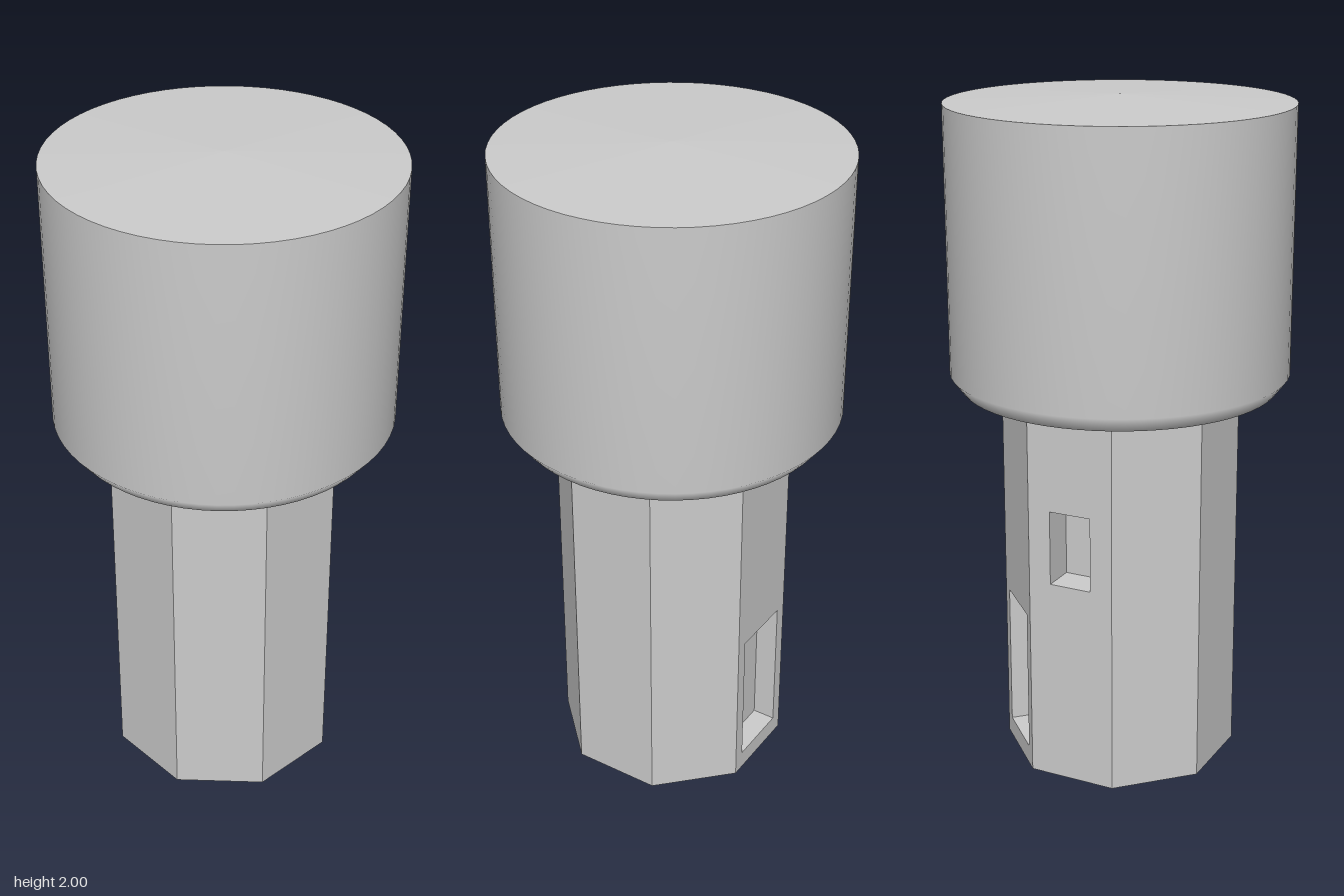
import * as THREE from 'three';

const SIDES = 8;
const APOTHEM = 0.325;
const SHAFT_TOP = 1.155;
const STEP = (2 * Math.PI) / SIDES;
const HALF_SIDE = APOTHEM * Math.tan(STEP / 2);

// Openings by side number, counted from the front (+z) towards +x
const OPENINGS = {
  4: { name: 'doorRecess', width: 0.195, bottom: 0.058, top: 0.495, depth: 0.07 },
  5: { name: 'windowRecess', width: 0.13, bottom: 0.62, top: 0.845, depth: 0.1 },
};

function rectangle(PathType, halfWidth, bottom, top) {
  return new PathType([
    new THREE.Vector2(-halfWidth, bottom),
    new THREE.Vector2(halfWidth, bottom),
    new THREE.Vector2(halfWidth, top),
    new THREE.Vector2(-halfWidth, top),
  ]);
}

// Inside-out box without its front face
function recessGeometry({ width, bottom, top, depth }) {
  const geometry = new THREE.BoxGeometry(width, top - bottom, depth);
  const index = Array.from(geometry.index.array);
  index.splice(24, 6);
  geometry.setIndex(index.reverse());
  geometry.clearGroups();
  geometry.computeVertexNormals();
  return geometry.translate(0, (top + bottom) / 2, APOTHEM - depth / 2);
}

export function createModel() {
  const model = new THREE.Group();
  model.name = 'waterTower';
  const concrete = new THREE.MeshStandardMaterial({ color: 0xcccccc });
  concrete.name = 'concreteGrey';

  const add = (parent, name, geometry) => {
    const mesh = new THREE.Mesh(geometry, concrete);
    mesh.name = name;
    parent.add(mesh);
    return mesh;
  };

  // Octagonal shaft, one wall panel per side
  const shaft = new THREE.Group();
  shaft.name = 'shaft';
  model.add(shaft);
  for (let i = 0; i < SIDES; i++) {
    const side = new THREE.Group();
    side.name = `shaftSide${i + 1}`;
    side.rotation.y = i * STEP;
    shaft.add(side);

    const panel = rectangle(THREE.Shape, HALF_SIDE, 0, SHAFT_TOP);
    const opening = OPENINGS[i];
    if (opening) {
      panel.holes.push(rectangle(THREE.Path, opening.width / 2, opening.bottom, opening.top));
      add(side, opening.name, recessGeometry(opening));
    }
    add(side, 'wallPanel', new THREE.ShapeGeometry(panel).translate(0, 0, APOTHEM));
  }

  // Shaft underside
  const radius = APOTHEM / Math.cos(STEP / 2);
  add(shaft, 'shaftBase', new THREE.CircleGeometry(radius, SIDES, STEP / 2).rotateX(Math.PI / 2));

  // Round tank, with separate surfaces where the edges are sharp
  const tank = new THREE.Group();
  tank.name = 'tank';
  model.add(tank);
  const profiles = {
    tankUnderside: [[0, SHAFT_TOP], [0.465, SHAFT_TOP]],
    tankWall: [[0.465, SHAFT_TOP], [0.5, 1.2], [0.5, 1.98]],
    tankRoof: [[0.5, 1.98], [0, 2]],
  };
  for (const [name, profile] of Object.entries(profiles)) {
    const points = profile.map(([x, y]) => new THREE.Vector2(x, y));
    add(tank, name, new THREE.LatheGeometry(points, 64));
  }

  return model;
}
